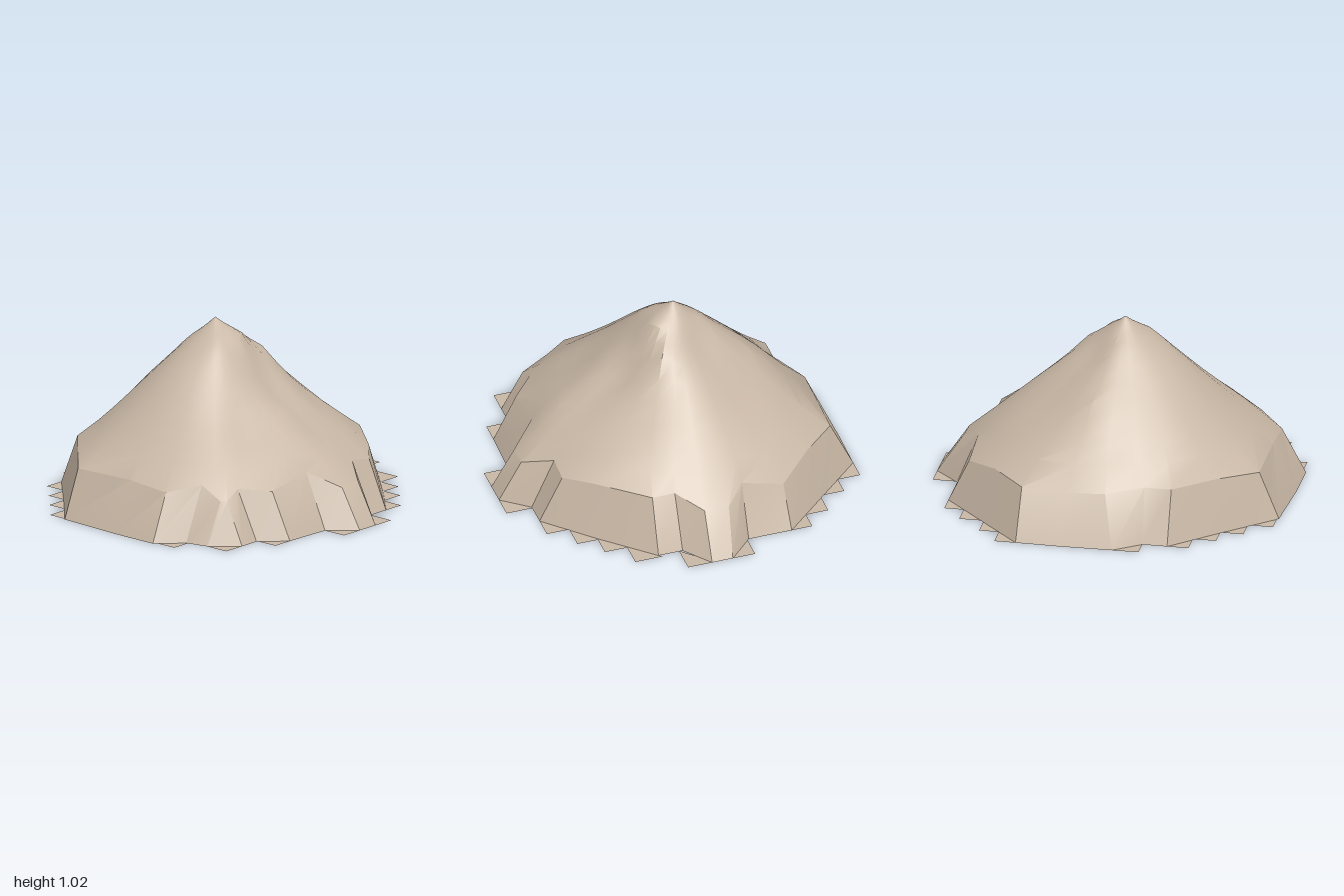
import * as THREE from 'three';
import { toCreasedNormals } from 'three/addons/utils/BufferGeometryUtils.js';

// Shoulder x, height, z, then ground rim x, z; clockwise from the back
const OUTLINE = [
  [-0.10, 0.28, -0.86, -0.16, -0.98], [0.12, 0.27, -0.86, 0.12, -0.985],
  [0.37, 0.28, -0.85, 0.38, -0.98], [0.56, 0.29, -0.65, 0.62, -0.72],
  [0.745, 0.24, -0.45, 0.86, -0.46], [0.74, 0.30, -0.21, 0.86, -0.21],
  [0.845, 0.24, -0.10, 1.00, -0.07], [0.84, 0.24, 0.04, 1.00, 0.05],
  [0.71, 0.30, 0.17, 0.845, 0.17], [0.71, 0.30, 0.30, 0.845, 0.31],
  [0.48, 0.30, 0.57, 0.59, 0.58], [0.34, 0.27, 0.70, 0.335, 0.83],
  [0.20, 0.29, 0.70, 0.20, 0.83], [0.08, 0.23, 0.85, 0.08, 0.98],
  [-0.05, 0.22, 0.85, -0.05, 0.98], [-0.18, 0.31, 0.70, -0.18, 0.84],
  [-0.46, 0.26, 0.70, -0.46, 0.83], [-0.60, 0.28, 0.57, -0.59, 0.70],
  [-0.70, 0.23, 0.58, -0.71, 0.70], [-0.72, 0.23, 0.55, -0.84, 0.56],
  [-0.73, 0.30, 0.42, -0.87, 0.43], [-0.87, 0.26, 0.28, -1.00, 0.30],
  [-0.87, 0.28, 0.02, -1.00, 0.02], [-0.87, 0.27, -0.37, -0.98, -0.37],
  [-0.66, 0.29, -0.56, -0.71, -0.62], [-0.45, 0.29, -0.75, -0.45, -0.87],
  [-0.30, 0.29, -0.75, -0.31, -0.87],
];
const PEAK = [-0.06, 1.02, -0.08];
const STEPS = [0, 0.06, 0.12, 0.18, 0.25, 0.33, 0.43, 0.54, 0.65, 0.76, 0.86, 1];

// Rounded swellings and hollows: x, z, height, radius
const BUMPS = [
  [0.00, 0.06, 0.05, 0.09], [0.17, 0.06, 0.04, 0.08], [-0.17, 0.05, 0.02, 0.08],
  [0.03, 0.24, -0.09, 0.14], [0.32, 0.28, -0.04, 0.14], [0.08, 0.48, -0.05, 0.14],
  [-0.12, 0.58, 0.02, 0.12], [-0.36, -0.08, 0.03, 0.18], [0.00, -0.52, 0.04, 0.18],
  [0.27, -0.36, -0.05, 0.20], [0.10, -0.20, -0.04, 0.10], [-0.06, -0.25, 0.02, 0.08],
  [-0.30, 0.36, -0.05, 0.18],
];

// Square corners of the flat teeth around the rim: x, z
const TEETH = [
  [-0.31, -0.98], [-0.57, -0.87], [-0.70, -0.74], [-0.83, -0.62], [-0.97, -0.49],
  [0.50, -0.98], [0.61, -0.85], [0.75, -0.71], [0.86, -0.58], [1.00, -0.20],
  [1.00, 0.19], [0.86, 0.45], [0.72, 0.58], [0.60, 0.70], [0.46, 0.83],
  [0.21, 0.98], [-0.18, 0.98], [-0.58, 0.83], [-0.84, 0.70], [-0.98, 0.44],
];
const TOOTH = 0.16;

function meshFrom(name, positions, index, material) {
  const geometry = new THREE.BufferGeometry();
  geometry.setAttribute('position', new THREE.Float32BufferAttribute(positions, 3));
  geometry.setIndex(index);
  const mesh = new THREE.Mesh(toCreasedNormals(geometry, 0.42), material);
  mesh.name = name;
  return mesh;
}

// Shoulder softened by averaging each point with its neighbours
function soften(points) {
  const n = points.length;
  return points.map((p, j) => [0, 1, 2].map((c) =>
    (points[(j + n - 1) % n][c] + 2 * p[c] + points[(j + 1) % n][c]) / 4));
}

// Point on the slope: spurs show only near the shoulder and fade upwards
function slopePoint(t, shoulder, soft) {
  const spur = t ** 5;
  const [x, base, z] = PEAK.map((p, c) =>
    THREE.MathUtils.lerp(p, THREE.MathUtils.lerp(soft[c], shoulder[c], spur), t));
  const fade = Math.sin(Math.PI * t);
  let y = base + 0.02 * fade;
  for (const [bx, bz, h, r] of BUMPS) {
    const d2 = (x - bx) ** 2 + (z - bz) ** 2;
    y += h * Math.min(1, fade * 2) * Math.exp(-d2 / (r * r));
  }
  return [x, y, z];
}

export function createModel() {
  const group = new THREE.Group();
  group.name = 'rockyMound';
  const rock = new THREE.MeshStandardMaterial({ color: 0xc8b7a5, side: THREE.DoubleSide });
  rock.name = 'brown grey rock';

  // Open shell: rings from the peak to the shoulder, then the steep skirt
  const n = OUTLINE.length;
  const soft = soften(soften(OUTLINE));
  const positions = [];
  const index = [];
  for (const t of STEPS) {
    OUTLINE.forEach((p, j) => positions.push(...slopePoint(t, p, soft[j])));
  }
  for (const p of OUTLINE) positions.push(p[3], 0, p[4]);
  for (let k = 0; k < STEPS.length; k++) {
    for (let j = 0; j < n; j++) {
      const a = k * n + j;
      const b = k * n + (j + 1) % n;
      if (k > 0) index.push(a, b, b + n);
      index.push(a, b + n, a + n);
    }
  }
  group.add(meshFrom('moundShell', positions, index, rock));

  // Flat triangular teeth lying on the ground
  const teeth = [];
  const teethIndex = [];
  for (const [x, z] of TEETH) {
    const sx = Math.sign(x), sz = Math.sign(z), i = teeth.length / 3;
    teeth.push(x, 0, z, x - sx * TOOTH, 0, z, x, 0, z - sz * TOOTH);
    teethIndex.push(...(sx * sz > 0 ? [i, i + 2, i + 1] : [i, i + 1, i + 2]));
  }
  group.add(meshFrom('rimTeeth', teeth, teethIndex, rock));
  return group;
}
